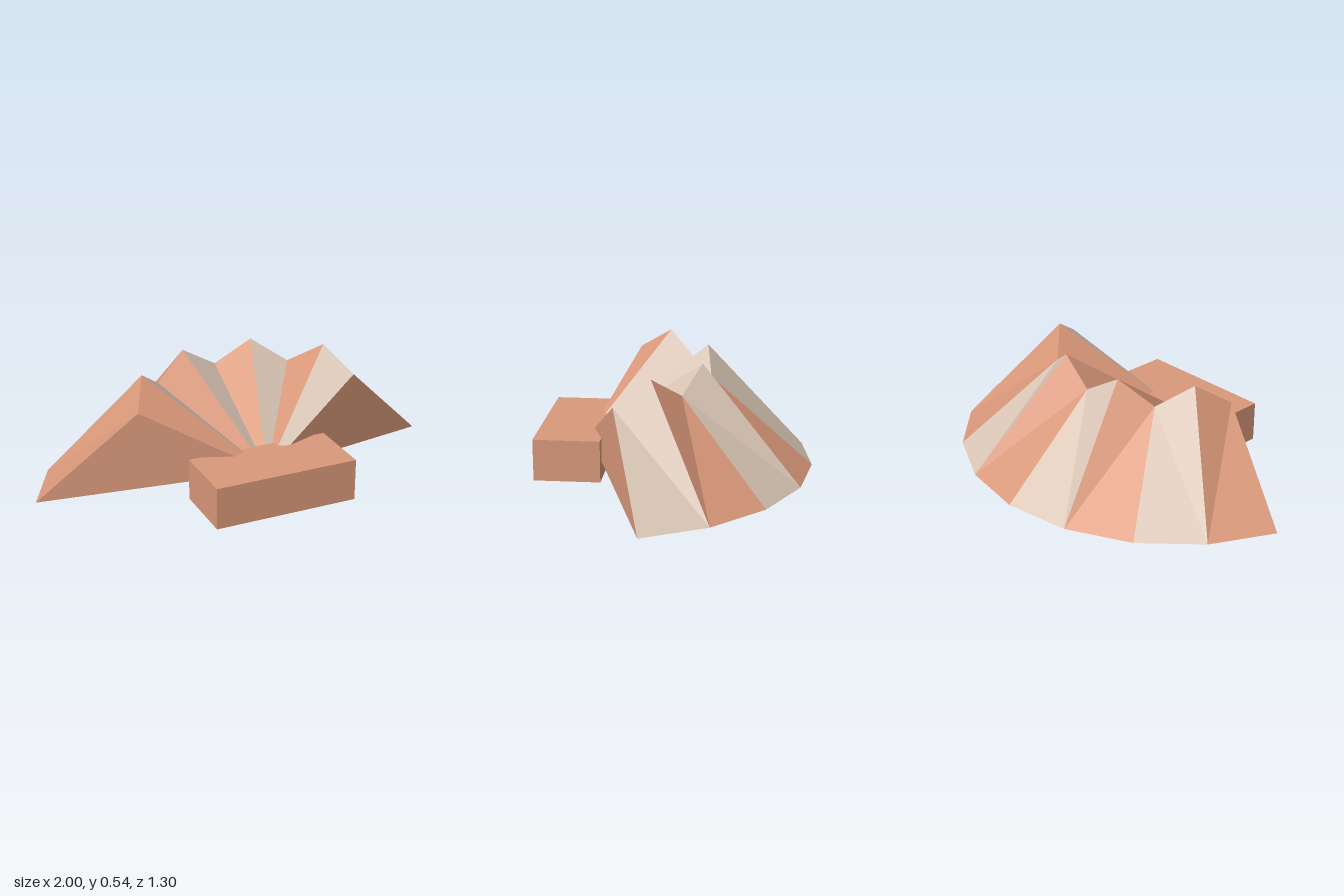
import * as THREE from 'three';

export function createModel() {
  const model = new THREE.Group();
  const copper = new THREE.MeshStandardMaterial({ color: 0xd9987a });
  copper.name = 'copper';
  const beige = new THREE.MeshStandardMaterial({ color: 0xd9c5b5 });
  beige.name = 'beige';

  // Fan frame: every pleat runs from the ground ring over a zigzag crest to one apex
  const PLEATS = 8;
  const ringPoint = (k, radius, y, centreZ) => {
    const a = THREE.MathUtils.degToRad(18 + (144 * k) / PLEATS);
    return new THREE.Vector3(radius * Math.cos(a), y, centreZ - radius * Math.sin(a));
  };
  const apex = new THREE.Vector3(0, 0.12, 0.436);
  const rim = [], crest = [];
  for (let k = 0; k <= PLEATS; k++) {
    rim.push(ringPoint(k, 1.0515, 0, 0.403));
    crest.push(ringPoint(k, 0.578, k % 2 ? 0.54 : 0.43, 0.418));
  }

  // Flat-faced mesh from a list of triangles
  const facets = (name, material, triangles) => {
    const geometry = new THREE.BufferGeometry().setFromPoints(triangles.flat());
    geometry.computeVertexNormals();
    const mesh = new THREE.Mesh(geometry, material);
    mesh.name = name;
    return mesh;
  };

  // Pleats in alternating colours: outer slope and inner slope
  const fan = new THREE.Group();
  fan.name = 'pleatedFan';
  const underside = [];
  for (let k = 0; k < PLEATS; k++) {
    const [p, q, m, n] = [rim[k], rim[k + 1], crest[k], crest[k + 1]];
    // The fold joins a low crest point to the rim point below a high one
    const slope = k % 2 ? [[p, q, n], [p, n, m]] : [[p, q, m], [q, n, m]];
    fan.add(facets(`pleat${k + 1}`, k % 2 ? copper : beige, [...slope, [m, n, apex]]));
    underside.push([q, p, apex]);
  }
  fan.add(facets('underside', copper, underside));

  // Closed ends beside the base block
  fan.add(facets('leftEnd', copper, [[rim[0], crest[0], apex]]));
  fan.add(facets('rightEnd', copper, [[rim[PLEATS], apex, crest[PLEATS]]]));
  model.add(fan);

  // Base block that holds the apex
  const base = new THREE.Mesh(new THREE.BoxGeometry(0.69, 0.2, 0.315), copper);
  base.name = 'baseBlock';
  base.position.set(0, 0.1, 0.489);
  model.add(base);

  return model;
}
